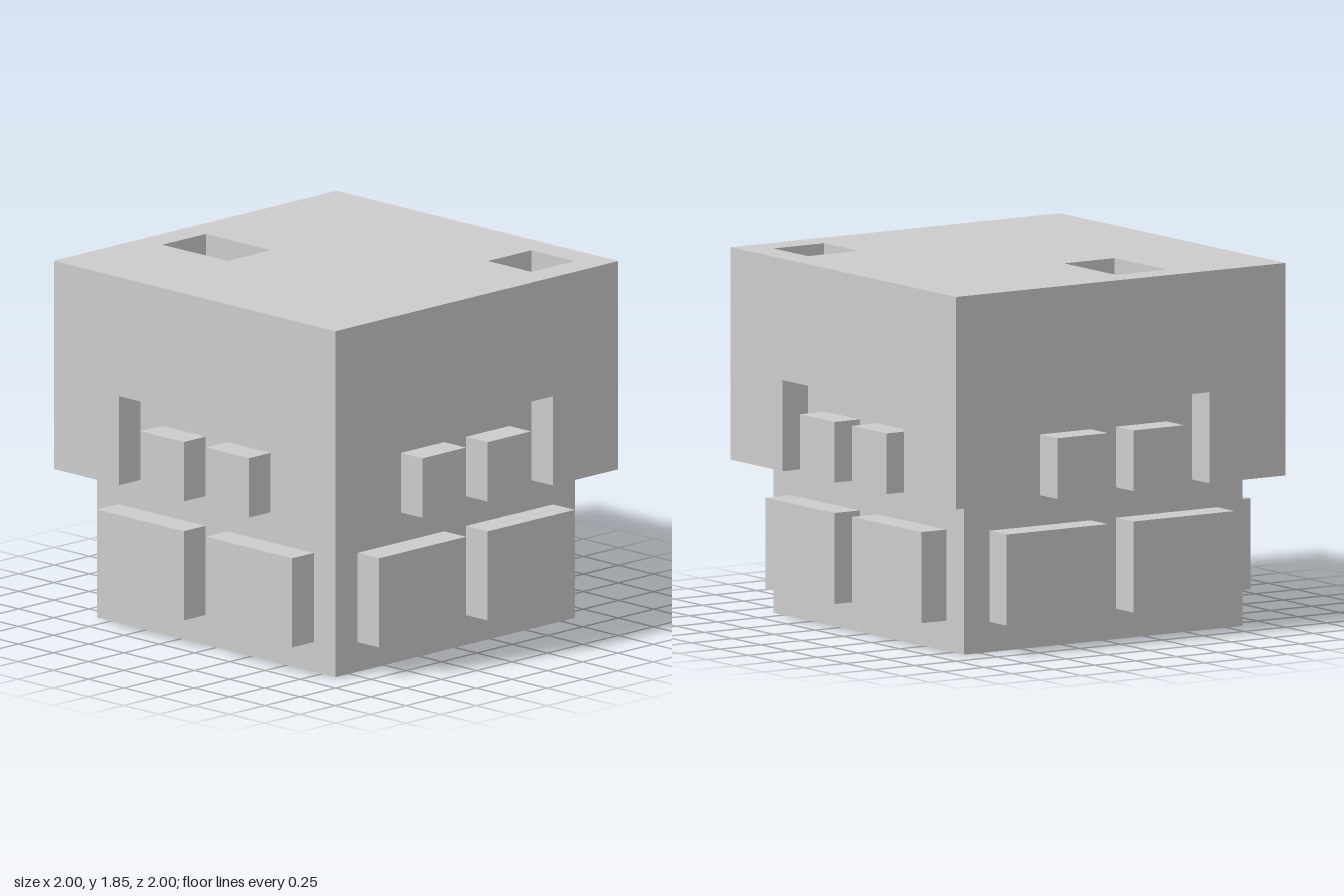
import * as THREE from 'three';

const U = 1 / 13; // grid unit of the block design

export function createModel() {
  const model = new THREE.Group();
  const material = new THREE.MeshStandardMaterial({ color: 0xcccccc, flatShading: true });

  const add = (parent, name, geometry) => {
    const mesh = new THREE.Mesh(geometry, material);
    mesh.name = name;
    parent.add(mesh);
    return mesh;
  };

  // Box given by its lowest and highest corner
  const block = (parent, name, [x0, y0, z0], [x1, y1, z1]) =>
    add(parent, name, new THREE.BoxGeometry(x1 - x0, y1 - y0, z1 - z0))
      .position.set((x0 + x1) / 2, (y0 + y1) / 2, (z0 + z1) / 2);

  const polygon = (Type, points) => new Type(points.map(([x, y]) => new THREE.Vector2(x, y)));
  const rect = (Type, x0, y0, x1, y1) => polygon(Type, [[x0, y0], [x1, y0], [x1, y1], [x0, y1]]);
  const slab = (shape) => new THREE.ExtrudeGeometry(shape, { depth: 2, bevelEnabled: false });

  // Inner body; its top is the floor of the recesses in the lid
  block(model, 'body', [-11, 0, -11], [11, 22, 11]);

  // Lid with two recesses (shape y is -z)
  const lidShape = rect(THREE.Shape, -13, -13, 13, 13);
  lidShape.holes.push(
    rect(THREE.Path, -11, -5, -5, -1),
    rect(THREE.Path, 7, 7, 11, 11)
  );
  const lid = add(model, 'lid', slab(lidShape));
  lid.rotation.x = -Math.PI / 2;
  lid.position.y = 22;

  // Four equal sides, each wall butting against the next at the corner
  const wallShape = polygon(THREE.Shape, [
    [-13, 10], [-7, 10], [-7, 16], [7, 16], [7, 10], [11, 10], [11, 22], [-13, 22],
  ]);
  ['front', 'left', 'back', 'right'].forEach((sideName, i) => {
    const side = new THREE.Group();
    side.name = sideName + 'Side';
    side.rotation.y = i * Math.PI / 2;
    model.add(side);

    add(side, 'notchedWall', slab(wallShape)).position.z = 11;

    // Raised blocks: a small pair in the notch, a large pair below
    for (const x of [1, -5]) block(side, 'smallBlock', [x, 10, 11], [x + 4, 14, 13]);
    for (const x of [1, -9]) block(side, 'largeBlock', [x, 2, 11], [x + 8, 8, 13]);
  });

  model.scale.setScalar(U);
  return model;
}
